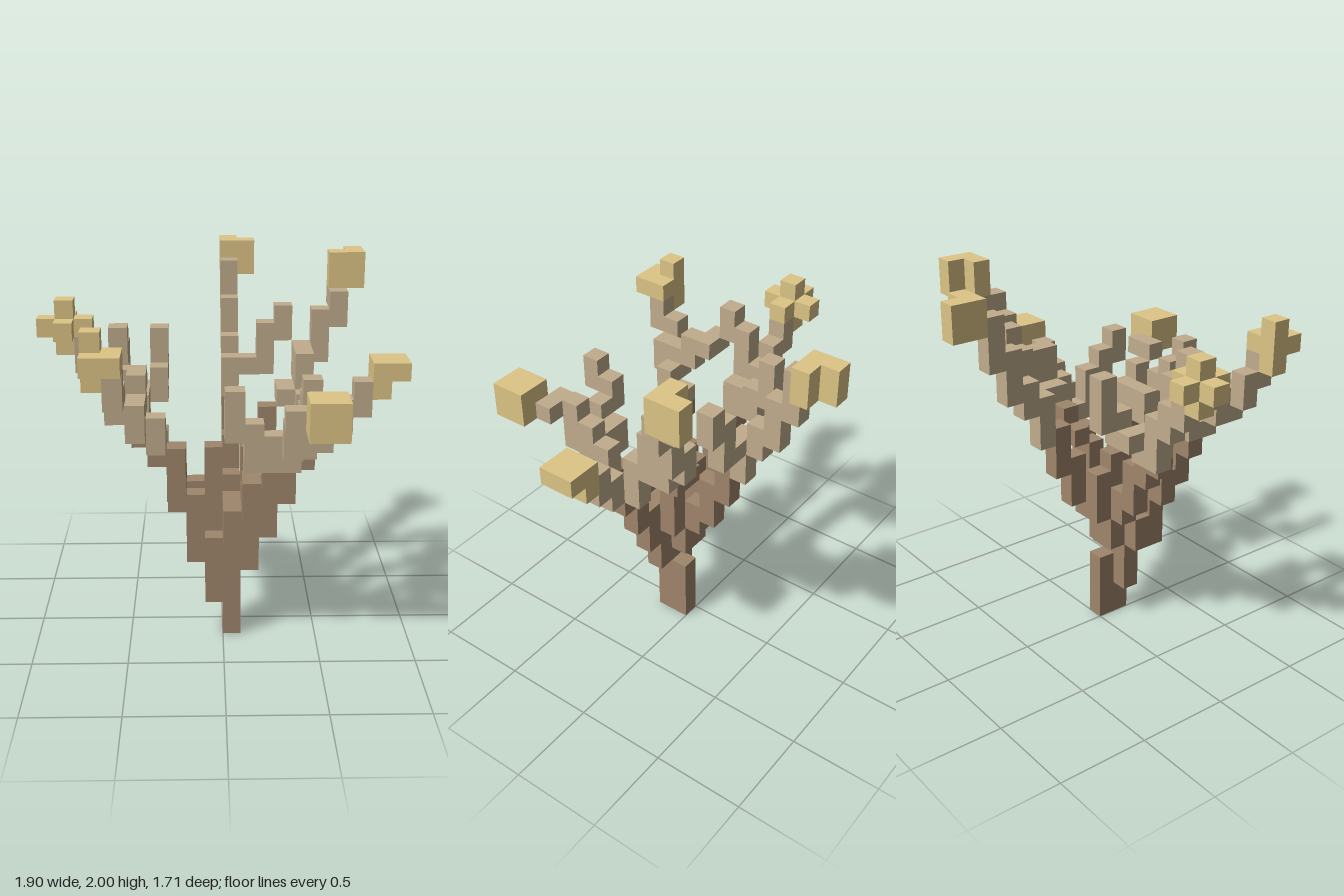
import * as THREE from 'three';
import { mergeGeometries } from 'three/addons/utils/BufferGeometryUtils.js';

const U = 2 / 21; // edge of one cube

// Each column is [x cell, z cell, lowest layer, highest layer].
const PARTS = {
  trunk: ['darkBark', [
    [0, 0, 0, 3], [0, 1, 0, 7], [0, 0, 5, 7], [-1, 1, 2, 5], [-1, 0, 5, 10],
    [1, 1, 4, 8], [1, 0, 7, 10], [0, 2, 6, 7], [1, 2, 7, 9],
  ]],
  // back limb rising to the tallest tip, with a side twig
  backLimb: ['darkBark', [[0, -1, 7, 8], [-1, -1, 7, 9], [0, -2, 8, 10], [0, -3, 10, 12]]],
  backBranch: ['paleBark', [
    [0, -4, 12, 14], [0, -5, 14, 15], [0, -6, 15, 17], [0, -7, 17, 19],
    [1, -4, 14, 14], [2, -4, 14, 16], [3, -4, 16, 17],
  ]],
  backLeaves: ['leaf', [[0, -9, 19, 20], [0, -8, 19, 20], [1, -8, 19, 20]]],
  // back left limb
  backLeftLimb: ['darkBark', [[1, -1, 11, 11], [2, -1, 11, 12]]],
  backLeftBranch: ['paleBark', [
    [3, -1, 13, 13], [3, -2, 13, 13], [4, -1, 13, 15], [4, -2, 13, 15], [4, -3, 14, 15],
    [5, -3, 15, 17], [6, -3, 17, 18], [6, -4, 18, 18],
  ]],
  backLeftLeaves: ['leaf', [[7, -5, 19, 20], [7, -4, 19, 20], [6, -4, 19, 20]]],
  // left limb
  leftLimb: ['darkBark', [[2, 1, 6, 8], [3, 1, 8, 10], [4, 1, 10, 10]]],
  leftBranch: ['paleBark', [
    [4, 1, 11, 11], [5, 1, 11, 12], [6, 1, 12, 13], [7, 1, 13, 14],
    [4, 0, 11, 13], [4, 2, 11, 13], [4, 3, 13, 14], [4, 4, 14, 15],
  ]],
  leftLeaves: ['leaf', [[8, 0, 14, 15], [8, 1, 14, 15], [9, 0, 15, 15], [9, 1, 15, 15]]],
  // front left limb, with a twig towards the middle
  frontLeftLimb: ['darkBark', [[1, 3, 8, 9], [2, 3, 9, 10], [2, 4, 10, 10]]],
  frontLeftBranch: ['paleBark', [
    [1, 4, 11, 12], [2, 4, 11, 12], [3, 4, 11, 12], [3, 5, 12, 13], [3, 6, 14, 14],
    [4, 6, 14, 14], [1, 5, 12, 13], [0, 5, 13, 14], [0, 6, 14, 15],
  ]],
  frontLeftLeaves: ['leaf', [[4, 7, 14, 15], [5, 7, 14, 15], [4, 8, 14, 15], [5, 8, 14, 15]]],
  // front right limb
  frontRightLimb: ['darkBark', [
    [-2, 1, 5, 6], [-2, 2, 5, 8], [-3, 2, 8, 9], [-3, 3, 9, 11], [-4, 3, 11, 11],
  ]],
  frontRightBranch: ['paleBark', [
    [-4, 3, 12, 12], [-4, 4, 12, 13], [-5, 4, 13, 14], [-5, 5, 13, 14], [-6, 5, 14, 15],
    [-6, 6, 15, 16], [-5, 3, 14, 15], [-5, 2, 15, 15], [-6, 2, 15, 15],
  ]],
  frontRightLeaves: ['leaf', [
    [-7, 6, 16, 18], [-6, 6, 17, 17], [-7, 7, 17, 17], [-6, 7, 17, 17],
  ]],
  // right limb, with two twigs
  rightLimb: ['darkBark', [[-2, 0, 7, 8], [-3, 0, 8, 10], [-4, 0, 10, 11], [-5, 0, 11, 11]]],
  rightBranch: ['paleBark', [
    [-5, 0, 12, 13], [-5, -1, 12, 13], [-6, -1, 12, 14], [-7, -1, 14, 15], [-8, -1, 15, 16],
    [-6, 0, 14, 16], [-6, 1, 16, 17], [-5, -2, 13, 13], [-4, -2, 13, 14], [-4, -3, 14, 16],
  ]],
  rightLeaves: ['leaf', [
    [-9, -1, 16, 18], [-10, -1, 17, 17], [-8, -1, 17, 17], [-9, -2, 17, 17], [-9, 0, 17, 17],
  ]],
};

function columnBox([x, z, low, high]) {
  const n = high - low + 1;
  return new THREE.BoxGeometry(U, n * U, U)
    .translate((x + 0.5) * U, (low + n / 2) * U, (z + 0.5) * U);
}

export function createModel() {
  const colours = { darkBark: 0xa0866c, paleBark: 0xc1ad8d, leaf: 0xddc586 };
  const materials = {};
  for (const [name, color] of Object.entries(colours)) {
    materials[name] = new THREE.MeshStandardMaterial({ color });
    materials[name].name = name;
  }

  const tree = new THREE.Group();
  tree.name = 'tree';
  for (const [name, [colour, columns]] of Object.entries(PARTS)) {
    const mesh = new THREE.Mesh(mergeGeometries(columns.map(columnBox)), materials[colour]);
    mesh.name = name;
    tree.add(mesh);
  }
  return tree;
}
